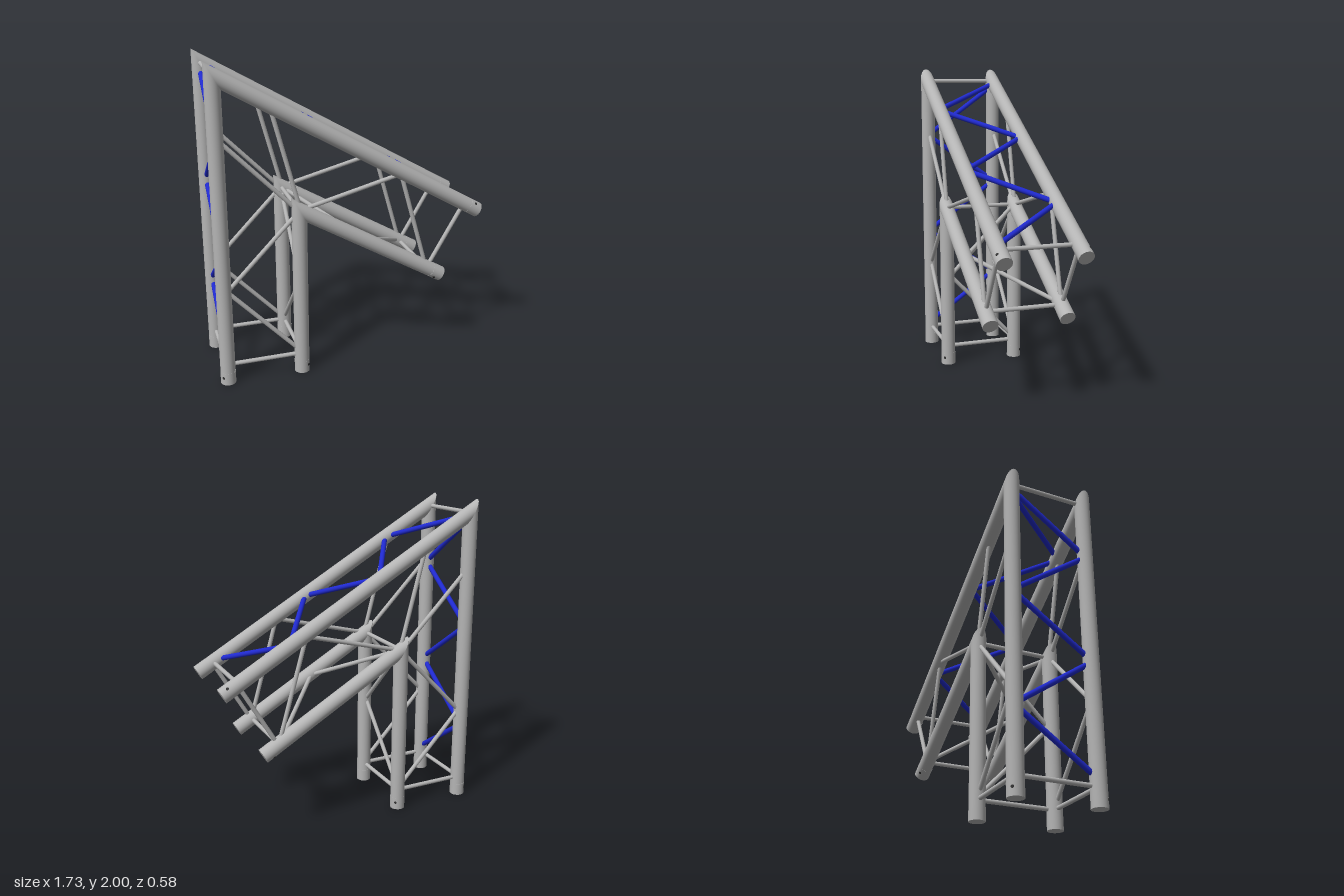
import * as THREE from 'three';

const R = 0.047;        // chord tube radius
const Z = 0.24;         // half spacing of the two frames
const SLOPE = Math.tan(Math.PI / 6);
const UP = new THREE.Vector3(0, 1, 0);
const vec = (x, y, z) => new THREE.Vector3(x, y, z);

// Corner joints and heights along the two sloping chords
const OUTER = { x: -0.82, y: 1.922, endX: 0.837 };
const INNER = { x: -0.343, y: 1.09, endX: 0.597 };
const rafterY = (c, x) => c.y - SLOPE * (x - c.x);

export function createModel() {
  const model = new THREE.Group();
  model.name = 'cornerTruss';
  const aluminium = new THREE.MeshStandardMaterial({ color: 0xb4b4b4 });
  aluminium.name = 'aluminium';
  const blue = new THREE.MeshStandardMaterial({ color: 0x202ad0 });
  blue.name = 'blue';
  const dark = new THREE.MeshStandardMaterial({ color: 0x333333 });
  dark.name = 'holeDark';

  // Straight round bar between two points
  function bar(name, a, b, radius, material, sides = 14, extend = 0) {
    const dir = b.clone().sub(a);
    const length = dir.length();
    const mesh = new THREE.Mesh(
      new THREE.CylinderGeometry(radius, radius, length + 2 * extend, sides), material);
    mesh.position.copy(a).add(b).multiplyScalar(0.5);
    mesh.quaternion.setFromUnitVectors(UP, dir.normalize());
    mesh.name = name;
    model.add(mesh);
    return mesh;
  }

  // Chord tube mitred at the joint, with a coupler sleeve and pin hole at its free end
  const miterNormal = vec(Math.cos(Math.PI / 6), 0.5, 0);
  function chord(name, joint, end, outward) {
    const dir = end.clone().sub(joint).normalize();
    const mesh = bar(name, end, joint, R, aluminium, 40);
    mesh.updateMatrix();
    const geo = mesh.geometry.applyMatrix4(mesh.matrix);
    mesh.position.set(0, 0, 0);
    mesh.quaternion.identity();
    const pos = geo.attributes.position;
    const p = vec(0, 0, 0);
    for (let i = 0; i < pos.count; i++) {
      p.fromBufferAttribute(pos, i);
      if (p.distanceTo(joint) > R * 1.1) continue;
      const t = -p.clone().sub(joint).dot(miterNormal) / dir.dot(miterNormal);
      p.addScaledVector(dir, t);
      pos.setXYZ(i, p.x, p.y, p.z);
    }
    geo.computeBoundingSphere();
    bar(name + 'Coupler', end.clone().addScaledVector(dir, -0.08), end, R + 0.0008, aluminium, 40);
    const hole = end.clone().addScaledVector(dir, -0.048);
    bar(name + 'PinHole', hole.clone().addScaledVector(outward, R - 0.004),
      hole.clone().addScaledVector(outward, R + 0.0015), 0.009, dark, 16);
  }

  for (const s of [1, -1]) {
    for (const [label, c, side] of [['outer', OUTER, -1], ['inner', INNER, 1]]) {
      const joint = vec(c.x, c.y, s * Z);
      chord(label + 'Post', joint, vec(c.x, 0, s * Z), vec(side, 0, s).normalize());
      chord(label + 'Rafter', joint, vec(c.endX, rafterY(c, c.endX), s * Z),
        vec(-side * 0.5, -side * 0.866, s).normalize());
    }
    // Lattice in the front and back faces: x, y to x, y
    for (const [x1, y1, x2, y2] of [
      [-0.78, 0.122, -0.38, 0.122],
      [-0.385, 0.177, -0.775, 0.59],
      [-0.775, 0.64, -0.375, 1.052],
      [-0.36, 1.1, -0.775, 1.525],
      [-0.34, 1.11, -0.492, 1.69],
      [-0.31, 1.096, 0.28, 1.25],
      [0.315, 1.225, 0.482, 0.65],
      [0.515, 0.63, 0.73, 1.0],
    ]) bar('sideBrace', vec(x1, y1, s * Z), vec(x2, y2, s * Z), 0.0135, aluminium, 14, 0.012);
  }

  // Cross bars joining the two frames
  for (const [x, y] of [
    [OUTER.x, 0.122], [INNER.x, 0.122], [OUTER.x, OUTER.y], [INNER.x, INNER.y],
    [0.735, rafterY(OUTER, 0.735)], [0.495, rafterY(INNER, 0.495)],
  ]) bar('crossBar', vec(x, y, -Z + 0.03), vec(x, y, Z - 0.03), 0.0135, aluminium);

  // Zigzag braces: pairs of stations, alternating from one frame to the other
  const W = 0.197;
  function zigzag(name, pairs, firstSide, place, radius, material) {
    pairs.forEach(([a, b], i) => {
      const s = i % 2 ? -firstSide : firstSide;
      bar(name, place(a, s * W), place(b, -s * W), radius, material, 14, 0.008);
    });
  }
  zigzag('bluePostBrace',
    [[0.195, 0.472], [0.54, 0.812], [0.885, 1.16], [1.23, 1.508], [1.575, 1.858]],
    1, (y, z) => vec(OUTER.x, y, z), 0.0165, blue);
  zigzag('blueRafterBrace',
    [[-0.765, -0.52], [-0.455, -0.205], [-0.17, 0.08], [0.13, 0.385], [0.435, 0.68]],
    -1, (x, z) => vec(x, rafterY(OUTER, x), z), 0.0165, blue);
  zigzag('innerPostBrace', [[0.18, 0.595], [0.64, 1.045]],
    -1, (y, z) => vec(INNER.x, y, z), 0.0135, aluminium);
  zigzag('innerRafterBrace', [[-0.305, 0.05], [0.095, 0.45]],
    -1, (x, z) => vec(x, rafterY(INNER, x), z), 0.0135, aluminium);

  return model;
}
